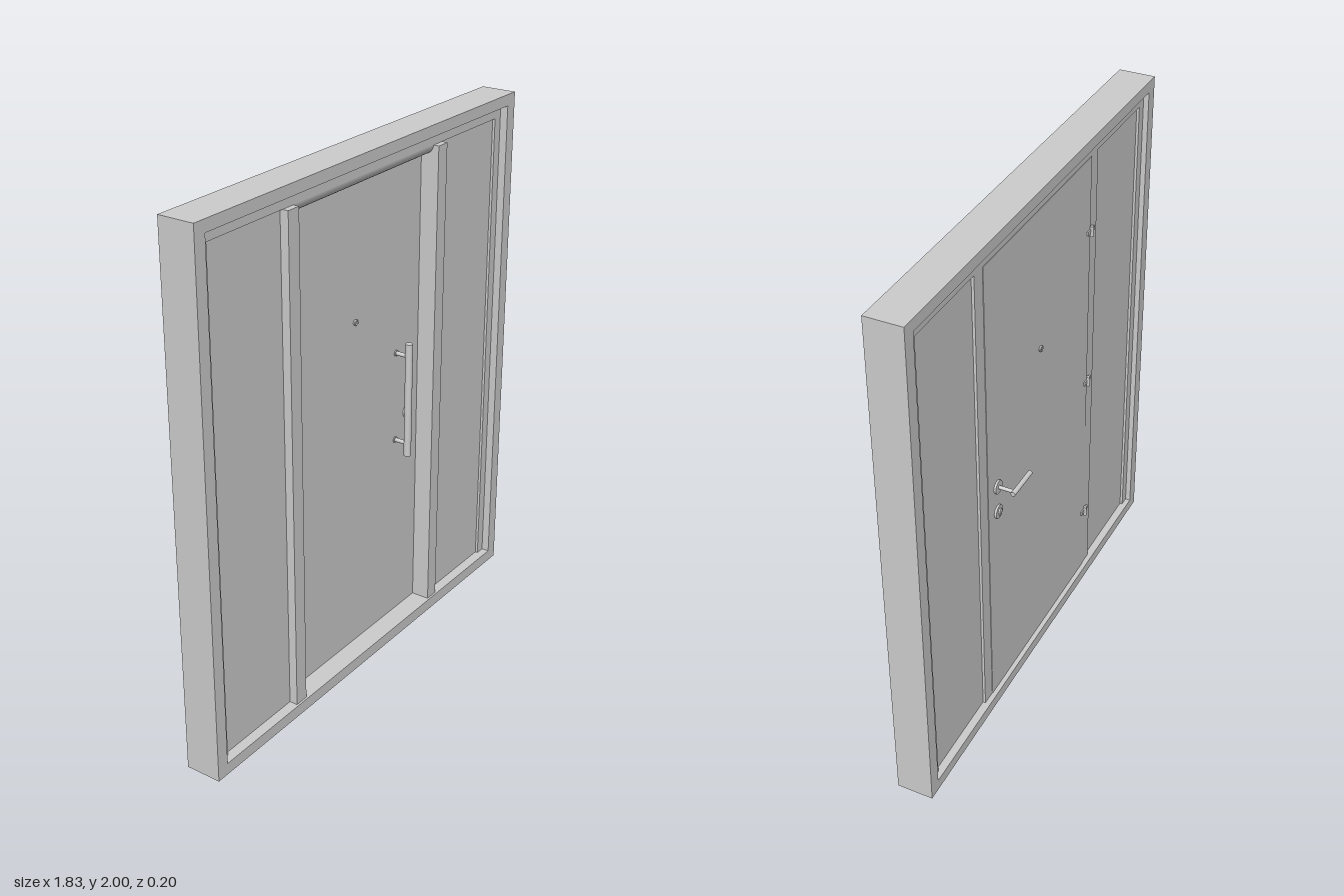
import * as THREE from 'three';

export function createModel() {
  const root = new THREE.Group();
  const mat = new THREE.MeshStandardMaterial({ color: 0xcccccc, side: THREE.DoubleSide });

  const add = (name, geo, parent = root) => {
    const m = new THREE.Mesh(geo, mat);
    m.name = name;
    parent.add(m);
    return m;
  };
  // Box given by its limits on each axis
  const box = (name, x0, x1, y0, y1, z0, z1, parent) => {
    const m = add(name, new THREE.BoxGeometry(x1 - x0, y1 - y0, z1 - z0), parent);
    m.position.set((x0 + x1) / 2, (y0 + y1) / 2, (z0 + z1) / 2);
    return m;
  };
  // Cylinder running along one axis, centred at x, y, z
  const rod = (name, axis, r, len, x, y, z, parent, sides = 20) => {
    const geo = new THREE.CylinderGeometry(r, r, len, sides);
    if (axis === 'x') geo.rotateZ(Math.PI / 2);
    if (axis === 'z') geo.rotateX(Math.PI / 2);
    const m = add(name, geo, parent);
    m.position.set(x, y, z);
    return m;
  };
  const rectPath = (p, x0, x1, y0, y1) => {
    p.moveTo(x0, y0);
    p.lineTo(x1, y0);
    p.lineTo(x1, y1);
    p.lineTo(x0, y1);
    p.closePath();
    return p;
  };
  // Rectangular ring extruded from z0 to z1
  const ring = (name, outer, inner, z0, z1) => {
    const s = rectPath(new THREE.Shape(), ...outer);
    s.holes.push(rectPath(new THREE.Path(), ...inner));
    const geo = new THREE.ExtrudeGeometry(s, { depth: z1 - z0, bevelEnabled: false });
    geo.translate(0, 0, z0);
    return add(name, geo);
  };

  // Outer frame and the recessed stop inside it
  ring('outerFrame', [-0.917, 0.917, 0, 2], [-0.868, 0.868, 0.045, 1.957], -0.04, 0.098);
  for (const s of [-1, 1]) {
    const [a, b] = s < 0 ? [-0.868, -0.83] : [0.83, 0.868];
    box('jambStop', a, b, 0.045, 1.957, -0.02, 0.068);
  }
  box('headStop', -0.83, 0.83, 1.912, 1.957, -0.02, 0.068);

  // Mullions and side panels
  for (const s of [-1, 1]) {
    const near = s * 0.407, far = s * 0.463, edge = s * 0.83;
    box('mullion', Math.min(near, far), Math.max(near, far), 0.045, 1.912, -0.02, 0.09);
    box('sidePanel', Math.min(far, edge), Math.max(far, edge), 0.045, 1.912, -0.01, 0.058);
  }

  // Door leaf with a sloped head moulding above it
  box('doorLeaf', -0.407, 0.407, 0.045, 1.912, -0.022, 0.018);
  const head = new THREE.Shape();
  head.moveTo(0.018, 1.882);
  head.lineTo(0.05, 1.882);
  head.quadraticCurveTo(0.066, 1.892, 0.068, 1.912);
  head.lineTo(0.018, 1.912);
  head.closePath();
  const headGeo = new THREE.ExtrudeGeometry(head, { depth: 0.814, bevelEnabled: false, curveSegments: 6 });
  headGeo.rotateY(-Math.PI / 2); // profile plane becomes z-y
  headGeo.translate(0.407, 0, 0);
  add('doorHeadMoulding', headGeo);

  // Peephole, both sides
  rod('peephole', 'z', 0.011, 0.05, 0, 1.365, -0.002);
  for (const z of [0.023, -0.027]) {
    const rim = add('peepholeRim', new THREE.TorusGeometry(0.009, 0.003, 8, 20));
    rim.position.set(0, 1.365, z);
  }

  // Front pull handle
  const pull = new THREE.Group();
  pull.name = 'pullHandle';
  root.add(pull);
  rod('pullBar', 'y', 0.014, 0.455, 0.262, 0.978, 0.075, pull);
  for (const y of [0.8, 1.155]) {
    rod('pullStandoff', 'z', 0.008, 0.06, 0.262, y, 0.045, pull);
    rod('pullFoot', 'z', 0.012, 0.004, 0.262, y, 0.02, pull);
  }

  // Lock roses with cylinders: dir is +1 on the front, -1 on the back
  const lock = (y, face, dir) => {
    const g = new THREE.Group();
    g.name = 'lock';
    root.add(g);
    rod('lockRose', 'z', 0.026, 0.008, 0.34, y, face + dir * 0.004, g, 24);
    rod('lockCylinder', 'z', 0.011, 0.014, 0.34, y + 0.004, face + dir * 0.007, g);
    box('lockBody', 0.335, 0.345, y - 0.016, y, face + dir * 0.006 - 0.006, face + dir * 0.006 + 0.006, g);
  };
  lock(0.89, 0.018, 1);
  lock(0.89, -0.022, -1);

  // Back lever handle
  const lever = new THREE.Group();
  lever.name = 'leverHandle';
  root.add(lever);
  rod('leverRose', 'z', 0.026, 0.008, 0.34, 1, -0.026, lever, 24);
  rod('leverSpindle', 'z', 0.007, 0.068, 0.34, 1, -0.056, lever);
  rod('leverGrip', 'x', 0.009, 0.135, 0.288, 1, -0.09, lever);

  // Hinges on the back, at the mullion
  for (const y of [0.33, 0.97, 1.62]) {
    const hinge = new THREE.Group();
    hinge.name = 'hinge';
    root.add(hinge);
    rod('hingeKnuckle', 'y', 0.007, 0.04, -0.407, y, -0.029, hinge, 14);
    box('hingeLeaf', -0.435, -0.38, y - 0.008, y + 0.008, -0.027, -0.018, hinge);
  }
  return root;
}
